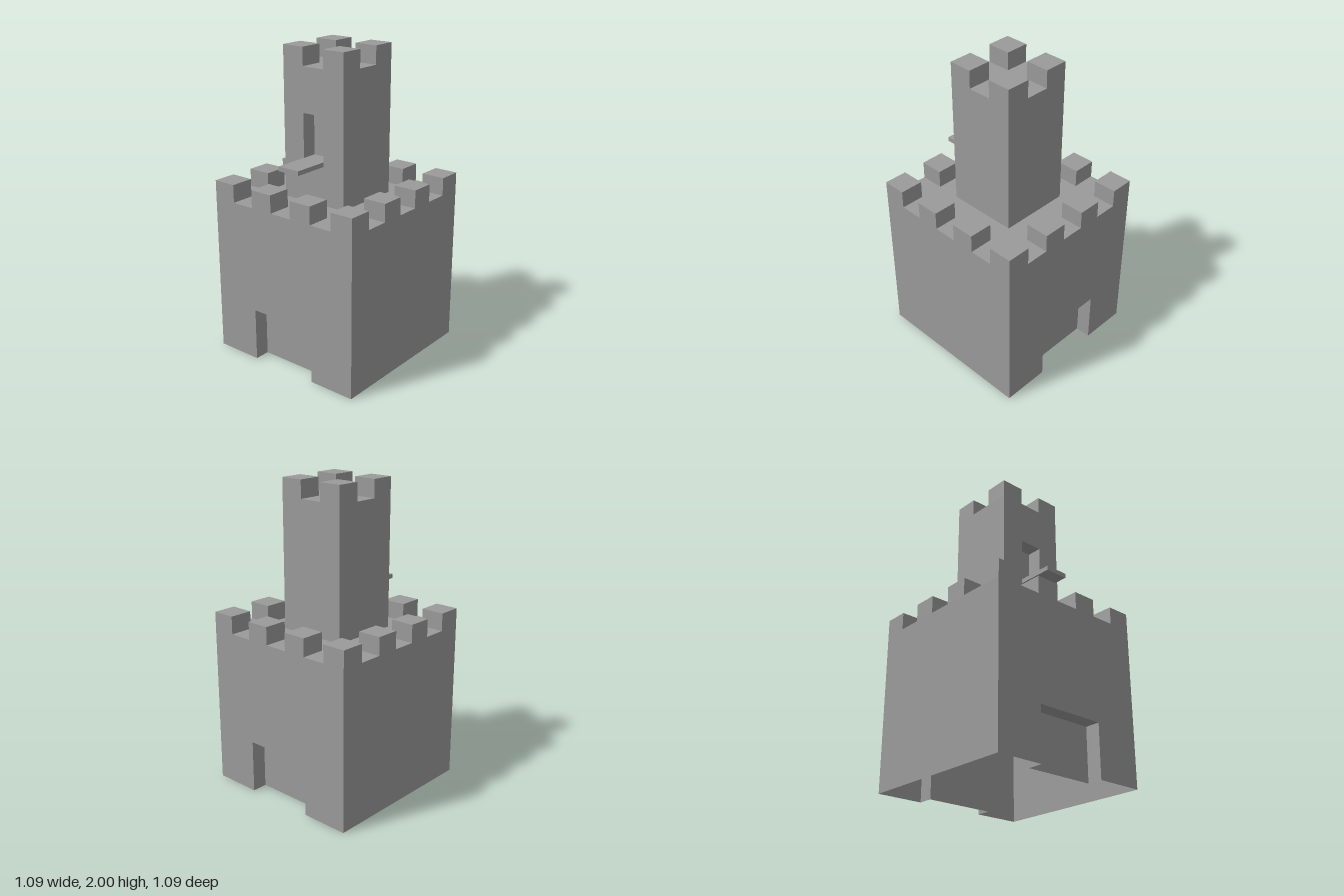
import * as THREE from 'three';

const U = 1.09 / 7;                   // one battlement module
const BASE = 3.5 * U, TOWER = 1.5 * U; // half widths
const DECK = 1.038, ROOF = 1.885, MERLON = 0.116;
const GATE_H = 0.345, SILL = 1.316, WIN_H = 0.284, RECESS = 0.1;
const FACES = ['right', 'left', 'top', 'bottom', 'front', 'back'];

export function createModel() {
  const castle = new THREE.Group();
  castle.name = 'castle';
  const stone = new THREE.MeshStandardMaterial({ color: 0x9a9a9a, flatShading: true, side: THREE.DoubleSide });

  function add(name, geometry, x, y, z, parent = castle) {
    const mesh = new THREE.Mesh(geometry, stone);
    mesh.name = name;
    mesh.position.set(x, y, z);
    parent.add(mesh);
    return mesh;
  }

  // Box with some faces left open
  function openBox(w, h, d, ...open) {
    const geometry = new THREE.BoxGeometry(w, h, d);
    const index = Array.from(geometry.index.array);
    geometry.setIndex(index.filter((_, i) => !open.includes(FACES[Math.floor(i / 6)])));
    geometry.clearGroups();
    return geometry;
  }

  function outline(points) {
    return new THREE.Shape(points.map(([x, y]) => new THREE.Vector2(x, y)));
  }

  // Floor of square modules; corners and every second edge module carry merlons
  function battlement(name, n, y, skip = () => false) {
    const group = new THREE.Group();
    group.name = name;
    castle.add(group);
    const last = n - 1;
    for (let i = 0; i < n; i++) for (let j = 0; j < n; j++) {
      const x = (i - last / 2) * U, z = (j - last / 2) * U;
      if (skip(i, j)) continue;
      const edge = i === 0 || j === 0 || i === last || j === last;
      if (edge && i % 2 === 0 && j % 2 === 0) {
        add('merlon', openBox(U, MERLON, U, 'bottom'), x, y + MERLON / 2, z, group);
      } else {
        add('floor', new THREE.PlaneGeometry(U, U).rotateX(-Math.PI / 2), x, y, z, group);
      }
    }
  }

  // Keep: plain side walls, gated front and back walls
  add('keepSideWalls', openBox(2 * BASE, DECK, 2 * BASE, 'top', 'bottom', 'front', 'back'), 0, DECK / 2, 0);
  const gateWall = outline([
    [-BASE, 0], [-TOWER, 0], [-TOWER, GATE_H], [TOWER, GATE_H],
    [TOWER, 0], [BASE, 0], [BASE, DECK], [-BASE, DECK],
  ]);
  for (const side of [1, -1]) {
    const wall = add('gateWall', new THREE.ShapeGeometry(gateWall), 0, 0, side * BASE);
    if (side < 0) wall.rotation.y = Math.PI;
    add('gateRecess', openBox(2 * TOWER, GATE_H, RECESS, 'bottom', side > 0 ? 'front' : 'back'),
      0, GATE_H / 2, side * (BASE - RECESS / 2));
  }
  battlement('keepBattlement', 7, DECK, (i, j) => i > 1 && i < 5 && j > 1 && j < 5);

  // Tower: three plain walls and a front wall with a window
  const towerH = ROOF - DECK;
  add('towerWalls', openBox(2 * TOWER, towerH, 2 * TOWER, 'top', 'bottom', 'front'), 0, DECK + towerH / 2, 0);
  const windowWall = outline([[-TOWER, DECK], [TOWER, DECK], [TOWER, ROOF], [-TOWER, ROOF]]);
  windowWall.holes.push(outline([
    [-U / 2, SILL], [-U / 2, SILL + WIN_H], [U / 2, SILL + WIN_H], [U / 2, SILL],
  ]));
  add('towerFrontWall', new THREE.ShapeGeometry(windowWall), 0, 0, TOWER);
  add('windowRecess', openBox(U, WIN_H, RECESS, 'front'), 0, SILL + WIN_H / 2, TOWER - RECESS / 2);
  battlement('towerBattlement', 3, ROOF);

  // Balcony slab below the window
  const slab = 0.029, reach = 0.231;
  add('balcony', new THREE.BoxGeometry(U, slab, reach), 0, SILL - slab / 2, TOWER + reach / 2);

  return castle;
}
